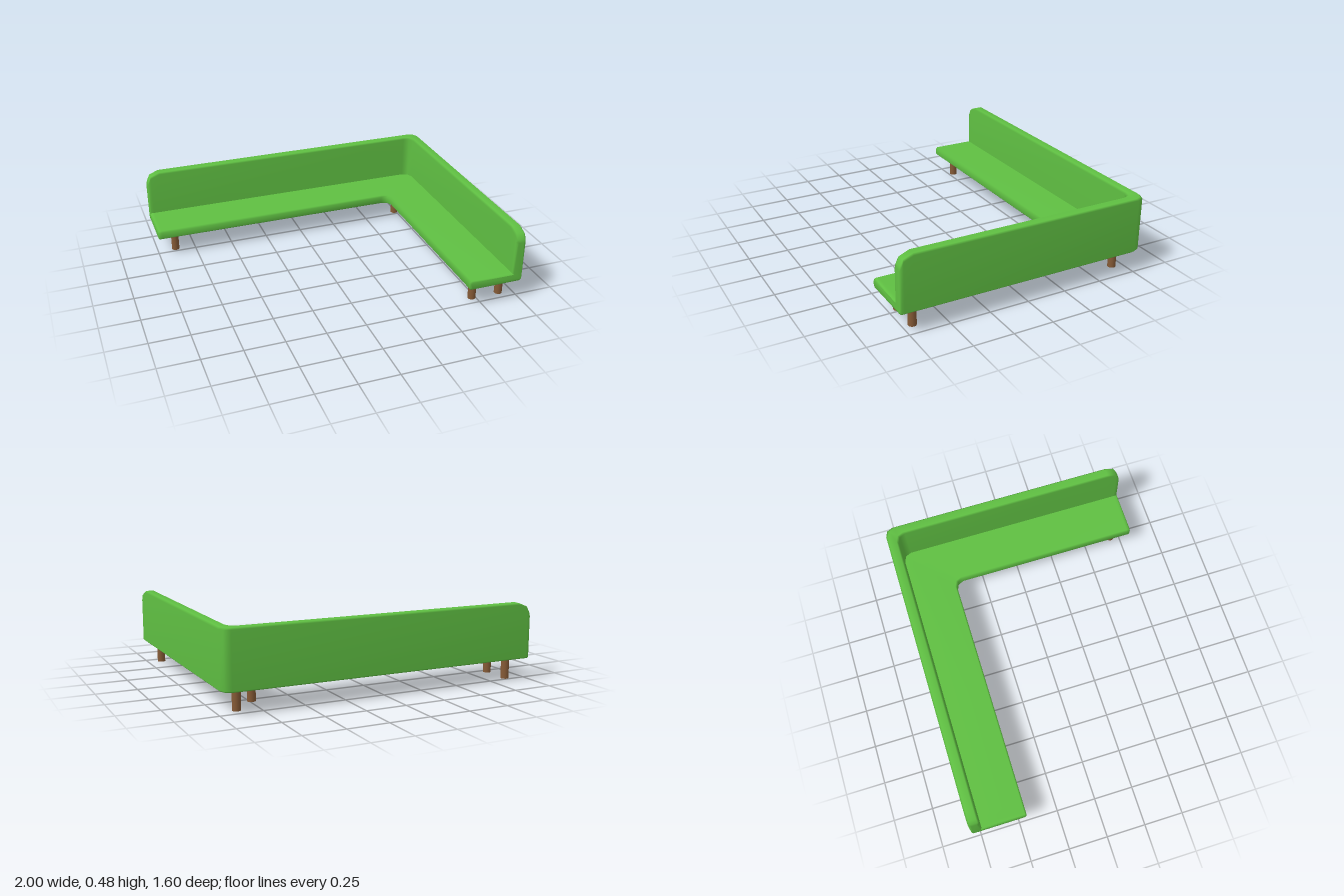
import * as THREE from 'three';

const SEAT_DEPTH = 0.353, BACK = 0.067;
const BOTTOM = 0.13, SEAT_TOP = 0.19, BACK_TOP = 0.48;
const BEVEL = 0.01, BEND = 0.055;

// Cross-section [depth from outer face, height] with its inward direction
const CORNERS = [
  [0, BOTTOM, 1, 1], [SEAT_DEPTH, BOTTOM, -1, 1], [SEAT_DEPTH, SEAT_TOP, -1, -1],
  [BACK, SEAT_TOP, -1, -1], [BACK, BACK_TOP, -1, -1], [0, BACK_TOP, 1, -1],
];
const CREASE = 3; // the corner where seat meets backrest stays sharp

function profile(inset, drop) {
  const points = [];
  CORNERS.forEach(([d, y, sd, sy], i) => {
    const pd = d + sd * inset;
    const py = y + sy * inset - (i > CREASE ? drop : 0);
    if (i === CREASE) {
      points.push([pd, py], [pd, py]);
    } else {
      const pair = [[pd, py + sy * BEVEL], [pd + sd * BEVEL, py]];
      points.push(...(i % 2 ? pair.reverse() : pair));
    }
  });
  return points;
}

// One continuous body swept round the L, with rounded backrest ends
function bodyGeometry() {
  // [distance from the end, drop of the backrest top, inset]
  const end = [[0, 0.072, 0.008], [0.008, 0.062, 0], [0.025, 0.025, 0], [0.085, 0, 0]];
  const stations = [
    ...end.map(([s, drop, inset]) => ({ drop, inset, at: d => [-1 + s, -0.8 + d] })),
    ...[[1, 0], [0.3, 0.3], [0, 1]].map(([a, b]) => ({
      drop: 0, inset: 0, at: d => [1 - d - a * BEND, -0.8 + d + b * BEND],
    })),
    ...end.slice().reverse().map(([s, drop, inset]) => ({ drop, inset, at: d => [1 - d, 0.8 - s] })),
  ];
  const positions = [], index = [];
  const n = profile(0, 0).length;
  for (const { drop, inset, at } of stations) {
    for (const [d, y] of profile(inset, drop)) {
      const [x, z] = at(d);
      positions.push(x, y, z);
    }
  }
  const creasePoint = CREASE * 2;
  for (let i = 0; i < stations.length - 1; i++) {
    for (let j = 0; j < n; j++) {
      if (j === creasePoint) continue;
      const k = (j + 1) % n, a = i * n, b = a + n;
      index.push(a + j, b + j, b + k, a + j, b + k, a + k);
    }
  }
  // End caps
  const outline = profile(end[0][2], end[0][1]).map(([d, y]) => new THREE.Vector2(d, y));
  const last = (stations.length - 1) * n;
  for (const [a, b, c] of THREE.ShapeUtils.triangulateShape(outline, [])) {
    index.push(a, b, c, last + a, last + c, last + b);
  }
  const geometry = new THREE.BufferGeometry();
  geometry.setAttribute('position', new THREE.Float32BufferAttribute(positions, 3));
  geometry.setIndex(index);
  geometry.computeVertexNormals();
  return geometry;
}

export function createModel() {
  const group = new THREE.Group();
  group.name = 'cornerSofa';
  const fabric = new THREE.MeshStandardMaterial({ color: 0x5fbf42 });
  fabric.name = 'greenFabric';
  const wood = new THREE.MeshStandardMaterial({ color: 0x855a36 });
  wood.name = 'brownWood';

  const body = new THREE.Mesh(bodyGeometry(), fabric);
  body.name = 'seatAndBackrest';
  group.add(body);

  // Legs: a pair at each end and a pair at the corner
  const legGeometry = new THREE.CylinderGeometry(0.025, 0.025, BOTTOM, 16);
  const legs = [
    ['leftEndBackLeg', 0.91, 0.69], ['leftEndFrontLeg', 0.725, 0.69],
    ['cornerBackLeg', 0.88, -0.68], ['cornerFrontLeg', 0.737, -0.535],
    ['rightEndBackLeg', -0.88, -0.72], ['rightEndFrontLeg', -0.88, -0.535],
  ];
  for (const [name, x, z] of legs) {
    const leg = new THREE.Mesh(legGeometry, wood);
    leg.name = name;
    leg.position.set(x, BOTTOM / 2, z);
    group.add(leg);
  }
  return group;
}
